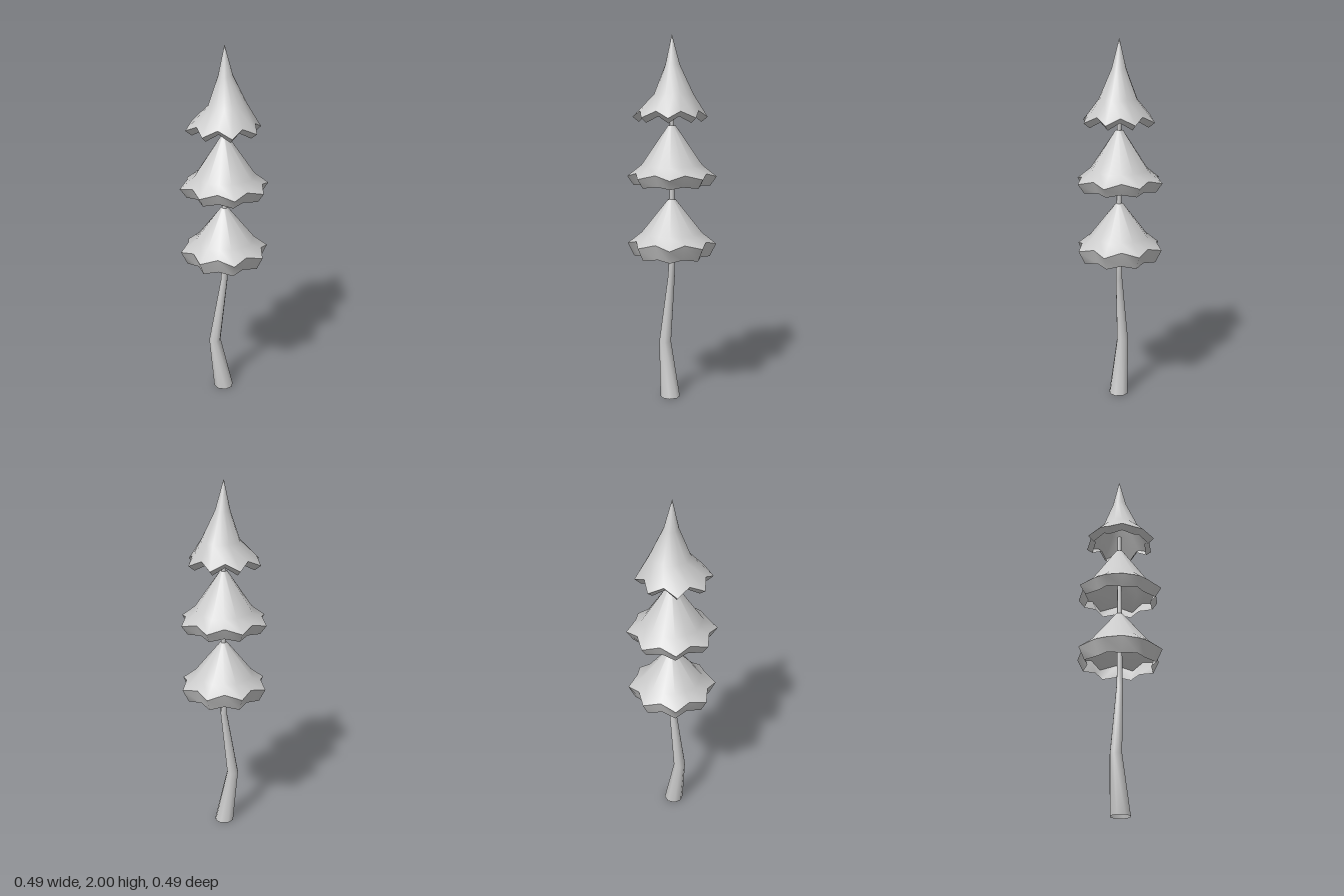
import * as THREE from 'three';

const material = new THREE.MeshStandardMaterial({ color: 0xcccccc, side: THREE.DoubleSide });

// Skin a stack of rings, listed top to bottom. Each ring alternates tips and valleys:
// y, r = tip height and radius; vy, vr = valley height and radius; x, z = ring centre.
function loft(name, rings, sides) {
  const positions = [], index = [];
  rings.forEach(({ y, r, vy = y, vr = r, x = 0, z = 0 }, k) => {
    for (let i = 0; i < sides; i++) {
      const a = (i / sides) * Math.PI * 2;
      const valley = i % 2 === 1;
      const radius = valley ? vr : r;
      positions.push(x + radius * Math.sin(a), valley ? vy : y, z + radius * Math.cos(a));
      if (k === 0) continue;
      const j = (i + 1) % sides;
      const top = (k - 1) * sides, low = k * sides;
      index.push(top + i, low + i, low + j, top + i, low + j, top + j);
    }
  });
  const geometry = new THREE.BufferGeometry();
  geometry.setAttribute('position', new THREE.Float32BufferAttribute(positions, 3));
  geometry.setIndex(index);
  geometry.computeVertexNormals();
  const mesh = new THREE.Mesh(geometry, material);
  mesh.name = name;
  return mesh;
}

// One hollow tier: a smooth cone with a scalloped rim and a skirt folded inward below it
function tier(name, upperRings, rim, hem) {
  const group = new THREE.Group();
  group.name = name;
  group.add(loft('foliageCone', [...upperRings, rim], 16));
  group.add(loft('foliageSkirt', [rim, hem], 16));
  return group;
}

export function createModel() {
  const model = new THREE.Group();
  model.name = 'tree';

  // Bent, tapering trunk, open at the foot
  model.add(loft('trunk', [
    { y: 1.62, r: 0.012 },
    { y: 0.8, r: 0.015, x: 0.002 },
    { y: 0.69, r: 0.019, x: 0, z: 0.003 },
    { y: 0.31, r: 0.033, x: -0.04, z: 0.04 },
    { y: 0, r: 0.055, z: 0.01 },
  ], 8));

  // Two wide tiers
  const wide = [
    { name: 'lowerTier', apex: 1.125, rim: 0.88, hem: 0.81 },
    { name: 'middleTier', apex: 1.525, rim: 1.25, hem: 1.2 },
  ];
  for (const { name, apex, rim, hem } of wide) {
    model.add(tier(name,
      [{ y: apex, r: 0.001 }, { y: apex - 0.002, r: 0.021 }, { y: rim + 0.062, r: 0.165, vr: 0.155 }],
      { y: rim, r: 0.243, vy: rim + 0.022, vr: 0.204 },
      { y: hem, r: 0.208, vy: hem + 0.008, vr: 0.172 }));
  }

  // Tall pointed top tier, leaning slightly
  model.add(tier('topTier',
    [
      { y: 2, r: 0.001 },
      { y: 1.845, r: 0.039, x: 0.004, z: -0.004 },
      { y: 1.69, r: 0.106, vr: 0.102, x: 0.013, z: -0.011 },
    ],
    { y: 1.57, r: 0.202, vy: 1.605, vr: 0.168, z: 0.01 },
    { y: 1.543, r: 0.168, vy: 1.578, vr: 0.14, z: 0.01 }));

  return model;
}
